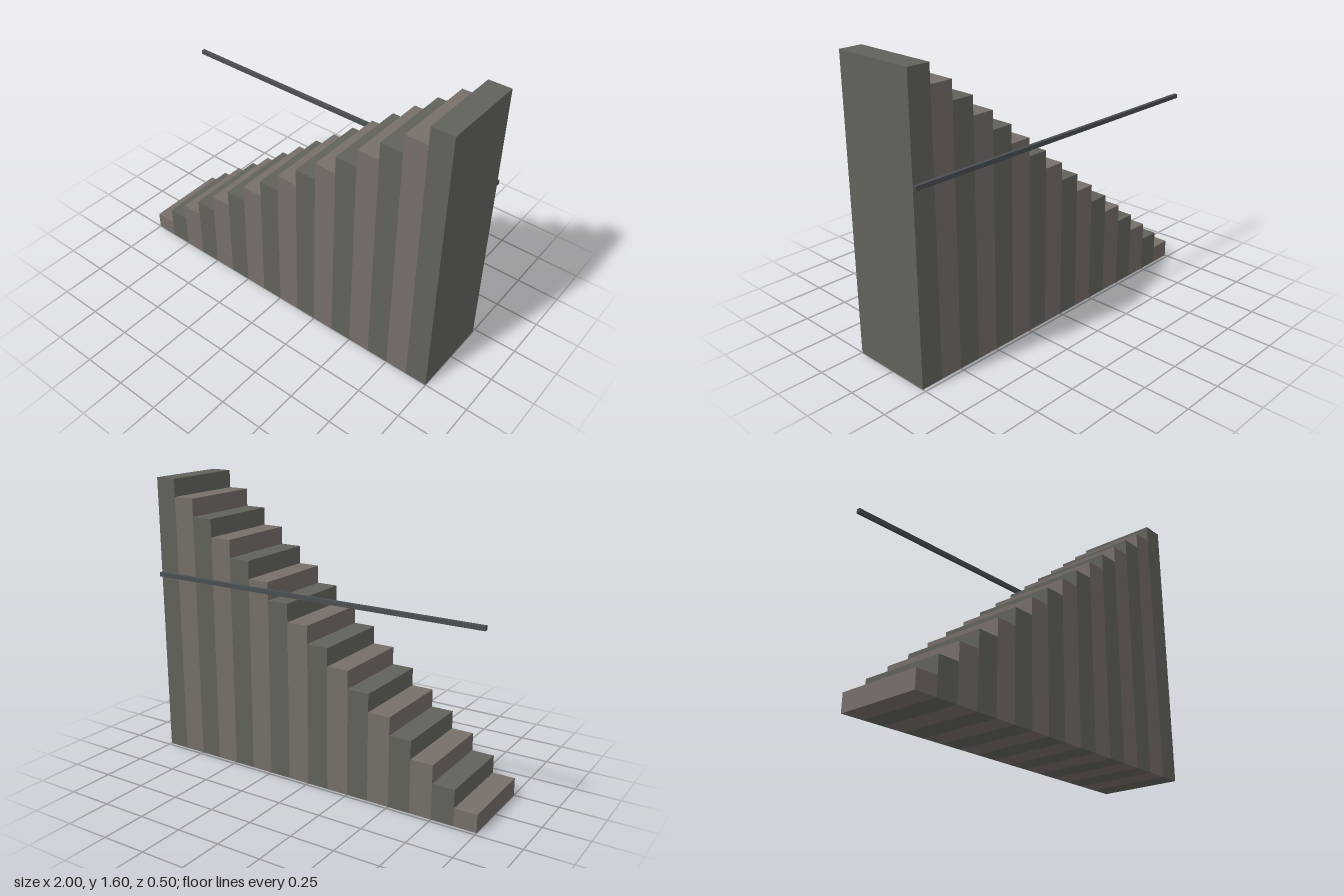
import * as THREE from 'three';

const STEPS = 16, RUN = 2 / STEPS, RISE = 0.1;
const BACK = -0.23, FRONT = 0.25;

export function createModel() {
  const model = new THREE.Group();
  model.name = 'staircase';

  const warmStone = new THREE.MeshStandardMaterial({ color: 0x766e69 });
  const coolStone = new THREE.MeshStandardMaterial({ color: 0x62625b });
  const darkMetal = new THREE.MeshStandardMaterial({ color: 0x4a4f52 });

  // Box given by its lower and upper corners
  function addBox(name, material, min, max) {
    const size = max.map((v, i) => v - min[i]);
    const mesh = new THREE.Mesh(new THREE.BoxGeometry(...size), material);
    mesh.position.set(...max.map((v, i) => (v + min[i]) / 2));
    mesh.name = name;
    model.add(mesh);
  }

  // Solid steps, each reaching the ground, in alternating stone
  for (let i = 0; i < STEPS; i++) {
    const x = -1 + i * RUN;
    addBox(`step${i + 1}`, i % 2 ? coolStone : warmStone,
      [x, 0, BACK], [x + RUN, (i + 1) * RISE, FRONT]);
  }

  // Level rail along the back face
  addBox('handrail', darkMetal, [-1, 1.04, -0.25], [1, 1.064, BACK]);

  return model;
}
